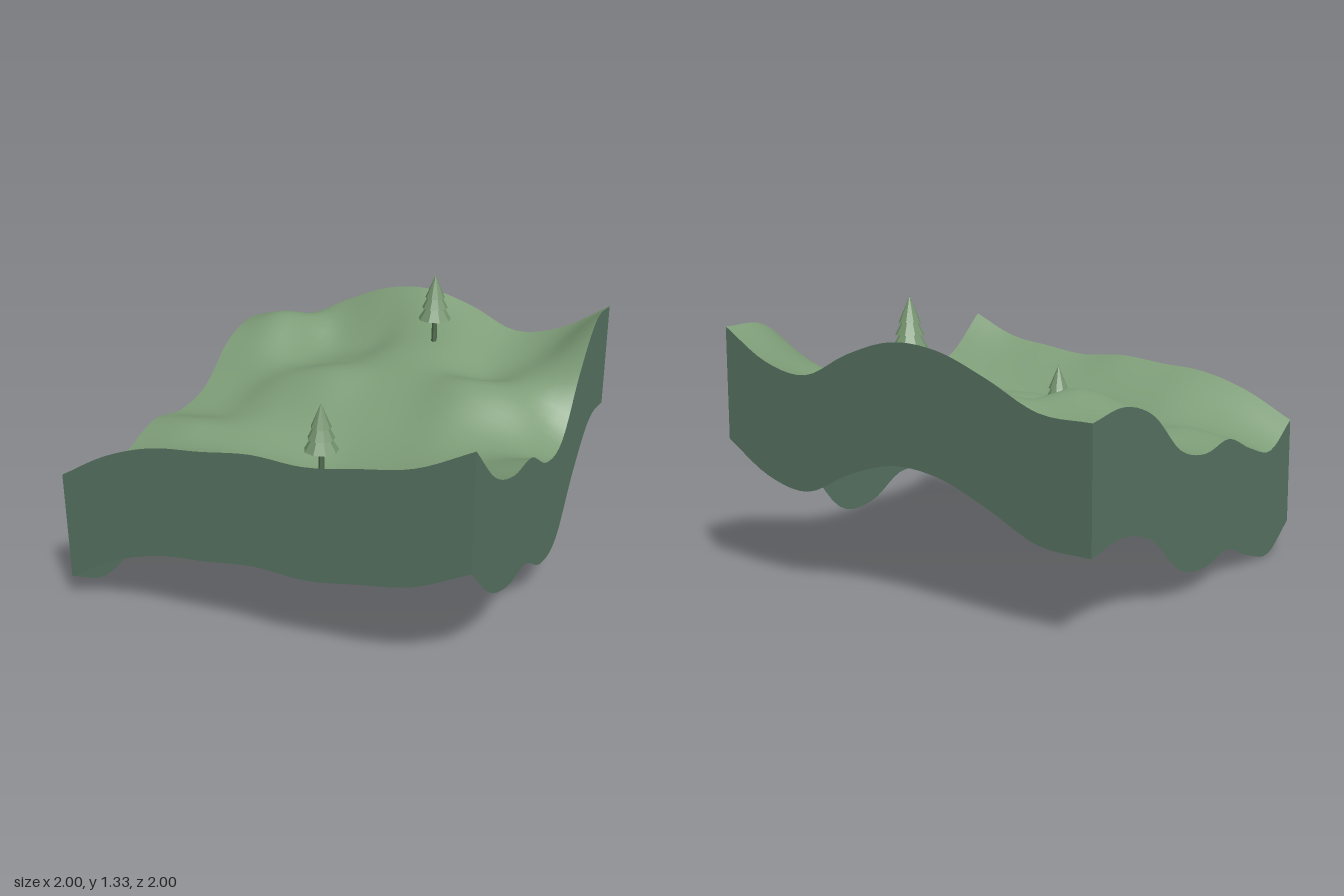
import * as THREE from 'three';

const grass = new THREE.MeshStandardMaterial({ name: 'grass green', color: 0x7d9c77, side: THREE.DoubleSide });
const earth = new THREE.MeshStandardMaterial({ name: 'deep green', color: 0x567261, side: THREE.DoubleSide });
const needles = new THREE.MeshStandardMaterial({ name: 'needle green', color: 0x75946f, flatShading: true });
const bark = new THREE.MeshStandardMaterial({ name: 'bark green', color: 0x506a4d, flatShading: true });

const SKIRT = 0.532, SEG = 40;

// Control heights: rows run from the back (z = -1) to the front, columns from x = -1 to x = 1
const H = [
  [0.90, 0.92, 1.04, 1.14, 1.165, 1.10, 0.995, 1.045, 1.195],
  [0.935, 0.995, 0.86, 0.90, 1.00, 1.01, 0.93, 0.98, 1.19],
  [0.87, 0.90, 0.83, 0.87, 0.94, 0.945, 0.88, 0.94, 1.00],
  [0.69, 0.73, 0.83, 0.89, 0.88, 0.90, 0.95, 0.90, 0.73],
  [0.64, 0.66, 0.72, 0.74, 0.74, 0.76, 0.80, 0.77, 0.715],
  [0.675, 0.71, 0.68, 0.63, 0.60, 0.64, 0.70, 0.76, 0.84],
  [0.595, 0.66, 0.68, 0.66, 0.65, 0.67, 0.72, 0.78, 0.855],
  [0.55, 0.69, 0.78, 0.80, 0.81, 0.82, 0.85, 0.89, 0.95],
  [0.675, 0.815, 0.90, 0.93, 0.963, 0.955, 0.995, 1.045, 1.165],
];

// Smooth curve through evenly spaced values, t from -1 to 1
function spline(v, t) {
  const n = v.length - 1;
  const u = THREE.MathUtils.clamp((t + 1) / 2 * n, 0, n);
  const i = Math.min(Math.floor(u), n - 1), f = u - i;
  const b = v[i], c = v[i + 1];
  const a = i > 0 ? v[i - 1] : 2 * b - c;
  const d = i < n - 1 ? v[i + 2] : 2 * c - b;
  return b + 0.5 * f * (c - a + f * (2 * a - 5 * b + 4 * c - d + f * (3 * (b - c) + d - a)));
}
const height = (x, z) => spline(H.map(row => spline(row, x)), z);

// Rolling ground surface
function ground() {
  const g = new THREE.PlaneGeometry(2, 2, SEG, SEG).rotateX(-Math.PI / 2);
  const p = g.attributes.position;
  for (let i = 0; i < p.count; i++) p.setY(i, height(p.getX(i), p.getZ(i)));
  g.computeVertexNormals();
  const m = new THREE.Mesh(g, grass);
  m.name = 'ground';
  return m;
}

// Vertical strip that follows the ground along one border
function wall(name, at) {
  const g = new THREE.PlaneGeometry(2, 1, SEG, 1);
  const p = g.attributes.position;
  for (let i = 0; i < p.count; i++) {
    const [x, z] = at(p.getX(i));
    p.setXYZ(i, x, height(x, z) - (p.getY(i) < 0 ? SKIRT : 0), z);
  }
  g.computeVertexNormals();
  const m = new THREE.Mesh(g, earth);
  m.name = name;
  return m;
}

// Conifer: thin trunk and three stacked cones
function tree(x, y, z) {
  const t = new THREE.Group();
  t.name = 'tree';
  const trunk = new THREE.Mesh(new THREE.CylinderGeometry(0.012, 0.015, 0.17, 6), bark);
  trunk.name = 'trunk';
  trunk.position.y = 0.085;
  t.add(trunk);
  const tiers = [[0.085, 0.14, 0.135], [0.067, 0.13, 0.195], [0.051, 0.12, 0.25]];
  for (const [r, h, base] of tiers) {
    const cone = new THREE.Mesh(new THREE.ConeGeometry(r, h, 9), needles);
    cone.name = 'foliageTier';
    cone.position.y = base + h / 2;
    t.add(cone);
  }
  t.position.set(x, y, z);
  return t;
}

export function createModel() {
  const model = new THREE.Group();
  model.name = 'terrainTile';
  model.add(
    ground(),
    wall('frontWall', s => [s, 1]),
    wall('backWall', s => [-s, -1]),
    wall('leftWall', s => [1, -s]),
    wall('rightWall', s => [-1, s]),
    tree(0.165, 0.975, -0.665),
    tree(0, 0.59, 0.333),
  );
  return model;
}
